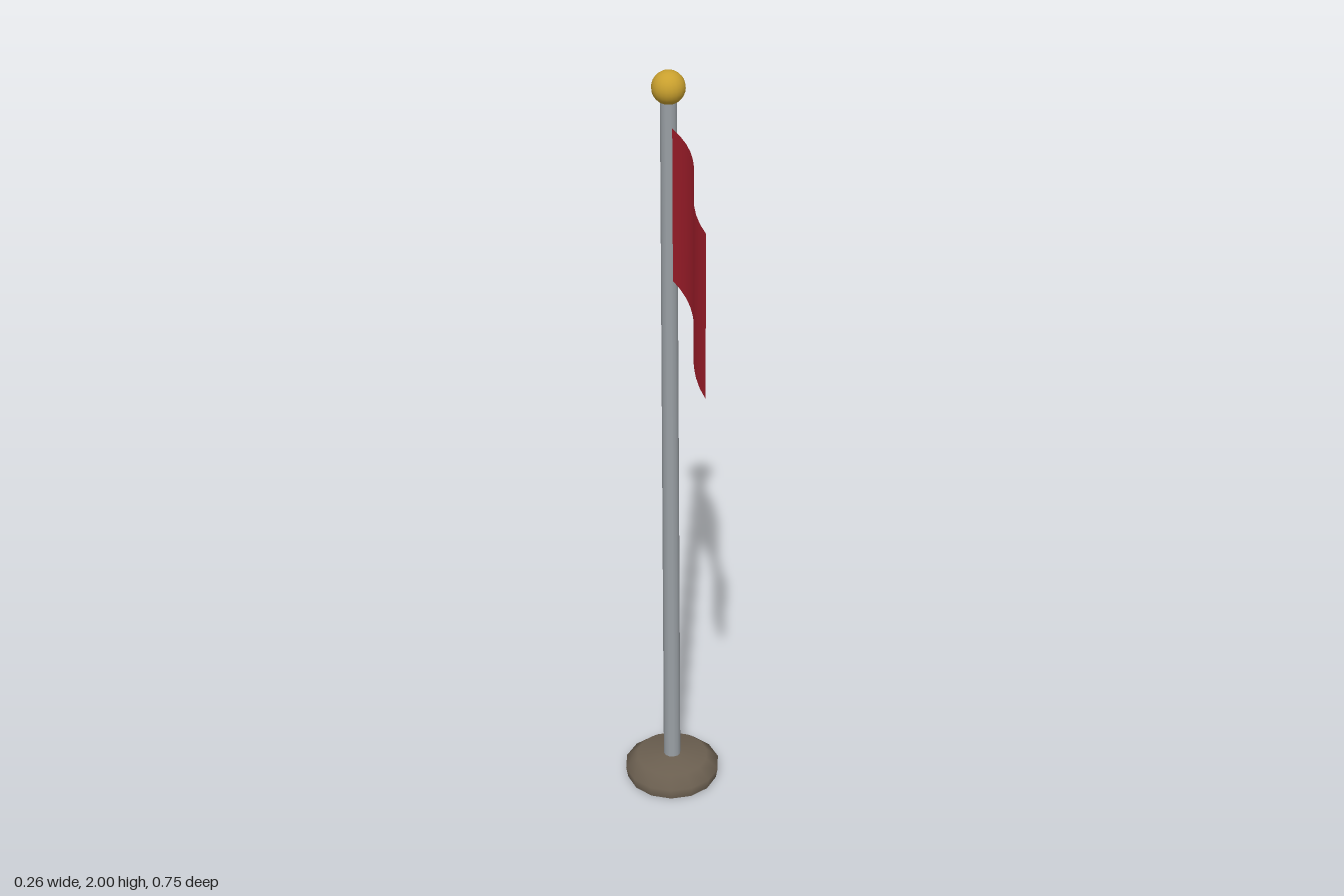
import * as THREE from 'three';

const POLE_Z = -0.25;

function material(name, color, side = THREE.FrontSide) {
  const m = new THREE.MeshStandardMaterial({ color, side });
  m.name = name;
  return m;
}

export function createModel() {
  const group = new THREE.Group();
  group.name = 'flagpole';

  const stone = material('brown stone', 0x6b5f50);
  const steel = material('grey steel', 0x9aa0a5);
  const gold = material('gold', 0xc9a02e);
  const cloth = material('red cloth', 0xb22230, THREE.DoubleSide);

  const add = (name, geometry, mat, y = 0) => {
    const mesh = new THREE.Mesh(geometry, mat);
    mesh.name = name;
    mesh.position.set(0, y, POLE_Z);
    group.add(mesh);
    return mesh;
  };

  // Low domed base with a flat underside
  const dome = [[0.123, 0], [0.128, 0.03], [0.096, 0.058], [0, 0.067]]
    .map(([r, y]) => new THREE.Vector2(r, y));
  add('base', new THREE.LatheGeometry(dome, 14).rotateY(Math.PI / 2), stone);
  add('baseUnderside', new THREE.CircleGeometry(0.123, 14).rotateX(Math.PI / 2), stone);

  // Slightly tapered pole and the ball on top
  add('pole', new THREE.CylinderGeometry(0.02, 0.023, 1.89, 12), steel, 0.995);
  add('finial', new THREE.SphereGeometry(0.04, 20, 14), gold, 1.96);

  // Waving flag, one sheet of cloth running forward from the pole
  const length = 0.6;
  const flagGeometry = new THREE.PlaneGeometry(length, 0.384, 12, 1);
  const p = flagGeometry.attributes.position;
  for (let i = 0; i < p.count; i++) {
    const t = p.getX(i) / length + 0.5;
    const x = -0.0175 + 0.0325 * Math.cos(Math.PI * (t - 0.2) / 0.72);
    p.setXYZ(i, x, p.getY(i), 0.025 + t * length);
  }
  flagGeometry.computeVertexNormals();
  // Turn the sheet's front to the +x side
  const index = flagGeometry.index;
  for (let i = 0; i < index.count; i += 3) {
    const b = index.getX(i + 1);
    index.setX(i + 1, index.getX(i + 2));
    index.setX(i + 2, b);
  }
  flagGeometry.computeVertexNormals();
  add('flag', flagGeometry, cloth, 1.678);

  return group;
}
